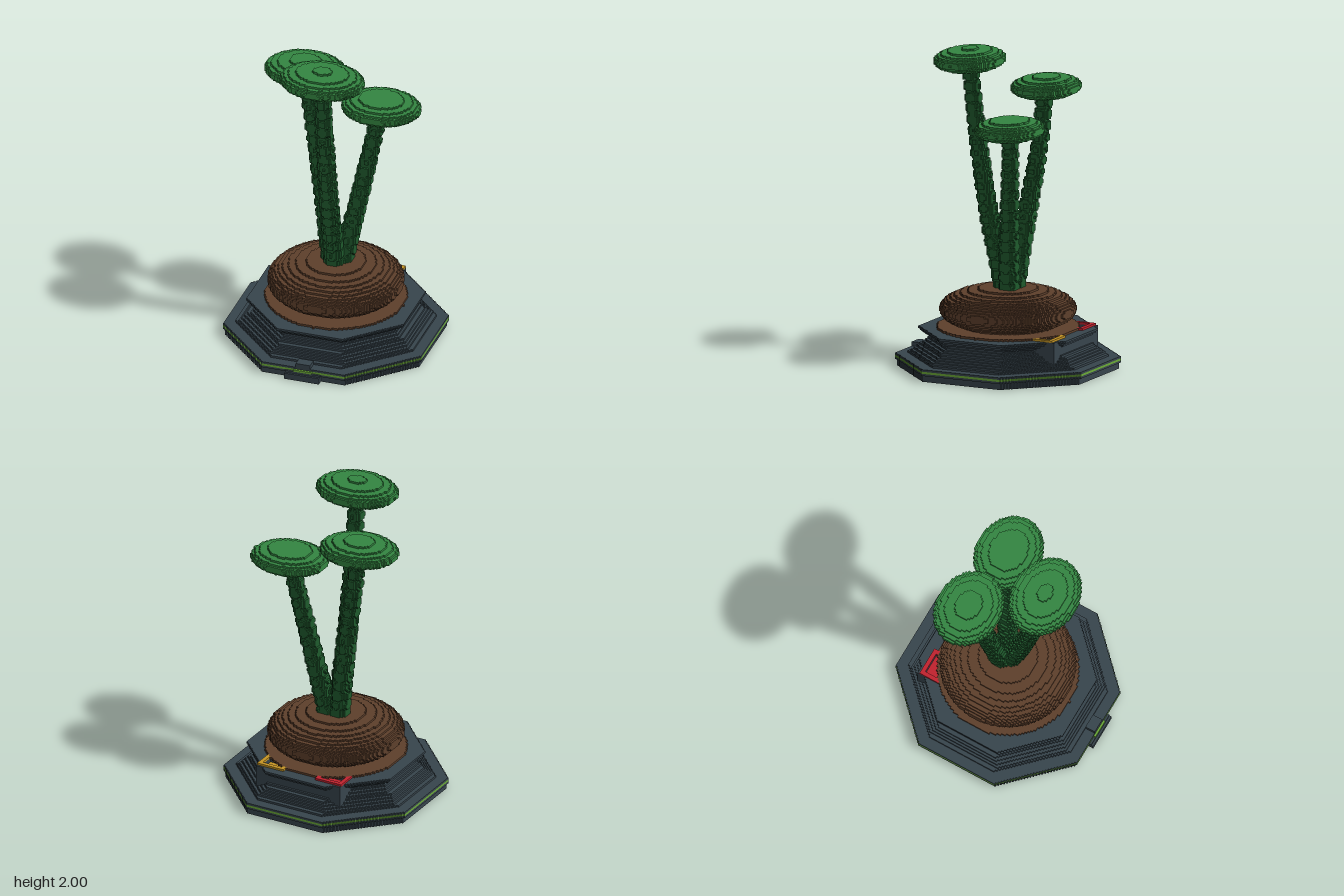
import * as THREE from 'three';

// Block grid: cell size, and cell counts along x, y, z
const H = 2 / 150;
const N = [97, 150, 99];
const cells = new Uint8Array(N[0] * N[1] * N[2]);
const index = (p) => (p[1] * N[2] + p[2]) * N[0] + p[0];
const origin = [-N[0] * H / 2, 0, -N[2] * H / 2];
const at = (p) => (p.some((v, a) => v < 0 || v >= N[a]) ? 0 : cells[index(p)]);

// Fill every cell in a box whose centre passes the test
function fill(label, min, max, test = () => true) {
  const lo = min.map((v, a) => Math.max(0, Math.ceil((v - origin[a]) / H - 0.5)));
  const hi = max.map((v, a) => Math.min(N[a] - 1, Math.floor((v - origin[a]) / H - 0.5)));
  for (let y = lo[1]; y <= hi[1]; y++)
    for (let z = lo[2]; z <= hi[2]; z++)
      for (let x = lo[0]; x <= hi[0]; x++) {
        const c = [x, y, z].map((v, a) => origin[a] + (v + 0.5) * H);
        if (test(...c)) cells[index([x, y, z])] = label;
      }
}

function ellipsoid(label, c, r) {
  fill(label, c.map((v, a) => v - r[a]), c.map((v, a) => v + r[a]), (...p) =>
    p.reduce((s, v, a) => s + ((v - c[a]) / r[a]) ** 2, 0) < 1);
}

// Exposed faces of one label, joined into strips
function blockGeometry(label) {
  const pos = [], nor = [], idx = [];
  for (let d = 0; d < 3; d++) {
    const u = (d + 1) % 3, v = (d + 2) % 3;
    for (const sign of [1, -1]) {
      const exposed = (p) => {
        if (at(p) !== label) return false;
        const q = p.slice();
        q[d] += sign;
        return at(q) === 0;
      };
      const p = [0, 0, 0];
      for (p[d] = 0; p[d] < N[d]; p[d]++)
        for (p[v] = 0; p[v] < N[v]; p[v]++)
          for (p[u] = 0; p[u] < N[u]; p[u]++) {
            if (!exposed(p)) continue;
            const start = p[u];
            while (p[u] < N[u] && exposed(p)) p[u]++;
            const k = pos.length / 3;
            for (const [a, b] of [[start, 0], [p[u], 0], [p[u], 1], [start, 1]]) {
              const c = [0, 0, 0], n = [0, 0, 0];
              c[d] = p[d] + (sign > 0 ? 1 : 0);
              c[u] = a;
              c[v] = p[v] + b;
              n[d] = sign;
              pos.push(...c.map((w, i) => origin[i] + w * H));
              nor.push(...n);
            }
            if (sign > 0) idx.push(k, k + 1, k + 2, k, k + 2, k + 3);
            else idx.push(k, k + 2, k + 1, k, k + 3, k + 2);
          }
    }
  }
  const g = new THREE.BufferGeometry();
  g.setAttribute('position', new THREE.Float32BufferAttribute(pos, 3));
  g.setAttribute('normal', new THREE.Float32BufferAttribute(nor, 3));
  g.setIndex(idx);
  return g;
}

const POT = 1, BAND = 2, SOIL = 3, STEM = 4, CAP = 5, RED = 6, AMBER = 7;
const CZ = -H; // pot axis sits slightly behind the middle

function fillPot() {
  // Octagonal foot, sloped wall and flared rim, one radius per row
  const radius = (j) => {
    if (j < 3) return 0.632;
    if (j < 6) return 0.645;
    if (j < 14) return 0.575 - (j - 6) * 0.0165;
    return [0.452, 0.465, 0.485, 0.505, 0.518][j - 14];
  };
  for (let j = 0; j < 19; j++) {
    const r = radius(j), y = (j + 0.5) * H;
    fill(j === 4 ? BAND : POT, [-r, y - H / 4, CZ - r], [r, y + H / 4, CZ + r], (x, _, z) =>
      (Math.abs(x) + Math.abs(z - CZ)) / Math.SQRT2 < r);
  }
  // Back housing below the two buttons
  fill(POT, [-0.305, 0.08, -0.485], [0.305, 19 * H, -0.2]);
  // Front tab, its lit edge and the small latch
  fill(POT, [-0.11, 0, 0.55], [0.11, 3 * H, 0.66]);
  fill(POT, [-0.11, 3 * H, 0.55], [0.11, 4 * H, 0.645]);
  fill(BAND, [-0.065, 4 * H, 0.6], [0.065, 5 * H, 0.65]);
  fill(POT, [-0.04, 5 * H, 0.57], [0.04, 8 * H, 0.635]);
}

function fillButtons() {
  // Square frames around shallow pockets with coloured floors
  for (const [side, label] of [[-1, RED], [1, AMBER]]) {
    const box = (l, inset, j0, j1) => {
      const a = side * (0.11 + inset), b = side * (0.305 - inset);
      fill(l, [Math.min(a, b), j0 * H, -0.475 + inset], [Math.max(a, b), j1 * H, -0.32 - inset]);
    };
    box(label, 0, 19, 20);
    box(0, 0.033, 17, 20);
    box(label, 0.033, 16, 17);
  }
}

function fillPlant() {
  // Soil disc and mound
  fill(SOIL, [-0.44, 19 * H, -0.46], [0.44, 20 * H, 0.44], (x, _, z) => Math.hypot(x, z - CZ) < 0.44);
  ellipsoid(SOIL, [0, 0.373, CZ], [0.42, 0.141, 0.42]);

  // Beaded stems, each ending in a flat oval cap
  const stems = [
    { path: [[0, 0.45, 0], [0, 1, 0.125], [0, 1.4, 0.19], [0, 1.9, 0.253]], cap: [0, 1.925, 0.253], r: [0.267, 0.07, 0.207] },
    { path: [[-0.03, 0.45, -0.035], [-0.12, 1, -0.095], [-0.19, 1.4, -0.137], [-0.24, 1.72, -0.15]], cap: [-0.247, 1.745, -0.152], r: [0.253, 0.067, 0.205] },
    { path: [[0.03, 0.45, -0.035], [0.14, 1, -0.095], [0.215, 1.4, -0.14], [0.24, 1.54, -0.15]], cap: [0.25, 1.565, -0.152], r: [0.25, 0.067, 0.205] },
  ];
  for (const { path, cap, r } of stems) {
    const curve = new THREE.CatmullRomCurve3(path.map((p) => new THREE.Vector3(...p)));
    const beads = Math.round(curve.getLength() / 0.07);
    for (let i = 0; i <= beads; i++) {
      const b = 0.064 - 0.014 * (i / beads);
      ellipsoid(STEM, curve.getPointAt(i / beads).toArray(), [b, b, b]);
    }
    ellipsoid(CAP, cap, r);
  }
}

export function createModel() {
  const group = new THREE.Group();
  cells.fill(0);
  fillPot();
  fillButtons();
  fillPlant();

  const parts = [
    [POT, 'pot', 'slate', 0x37444c],
    [BAND, 'lightBand', 'lime', 0x6aa838],
    [SOIL, 'soil', 'brown', 0x5d3f2b],
    [STEM, 'stems', 'darkGreen', 0x1f5a2d],
    [CAP, 'leafCaps', 'leafGreen', 0x338541],
    [RED, 'redButton', 'red', 0xc0222e],
    [AMBER, 'amberButton', 'amber', 0xc49424],
  ];
  for (const [label, name, colourName, color] of parts) {
    const material = new THREE.MeshStandardMaterial({ color });
    material.name = colourName;
    const mesh = new THREE.Mesh(blockGeometry(label), material);
    mesh.name = name;
    group.add(mesh);
  }
  return group;
}
